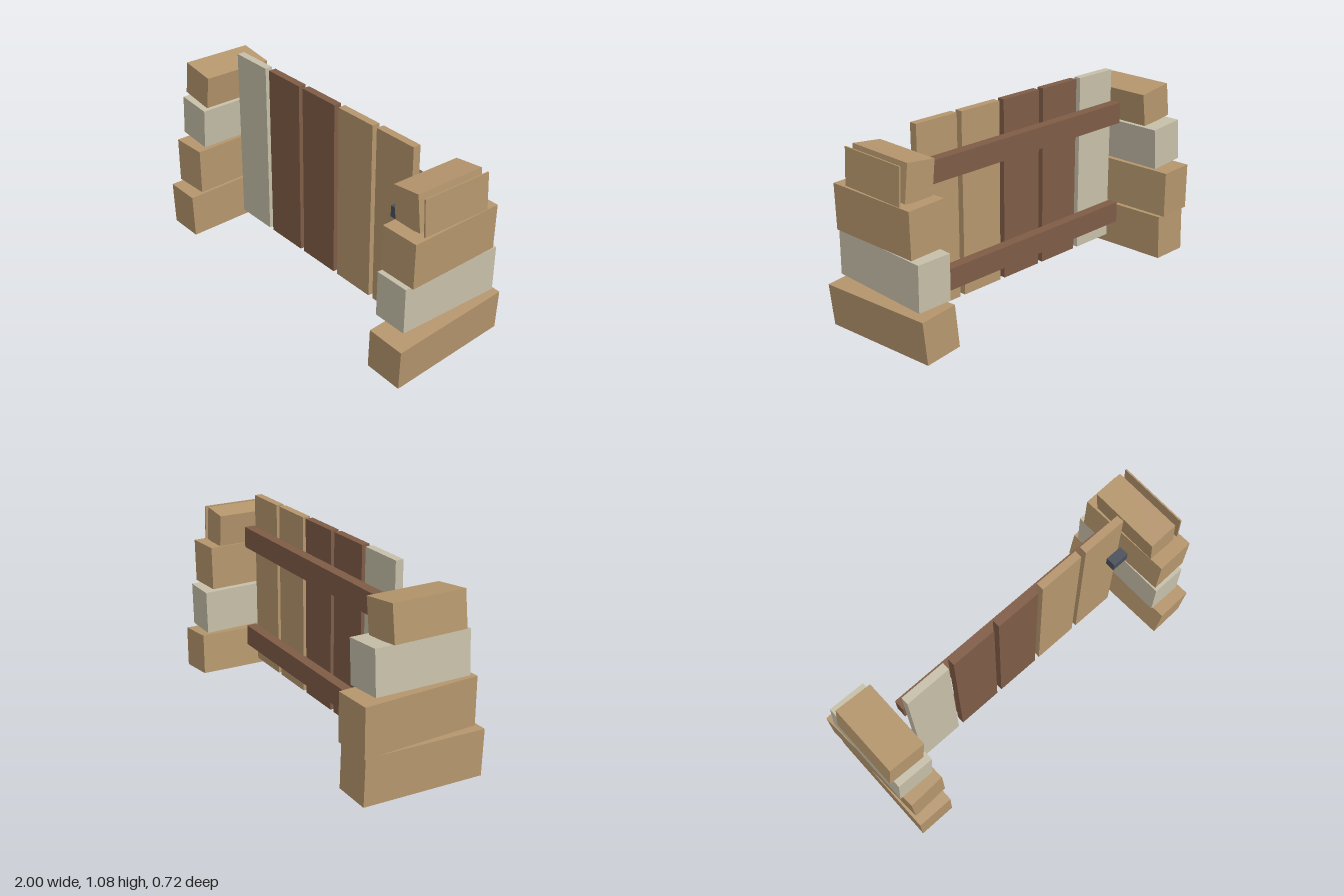
import * as THREE from 'three';

export function createModel() {
  const group = new THREE.Group();
  group.name = 'stoneGate';

  const paint = (name, color) => {
    const m = new THREE.MeshStandardMaterial({ color });
    m.name = name;
    return m;
  };
  const tan = paint('tan', 0xb5966d);
  const brown = paint('brown', 0x7f5c46);
  const pale = paint('paleStone', 0xc6bfa9);
  const iron = paint('darkIron', 0x4a4f5a);

  // One box: size, centre and rotation as [x, y, z]
  const box = (name, material, size, position, rotation = [0, 0, 0]) => {
    const mesh = new THREE.Mesh(new THREE.BoxGeometry(...size), material);
    mesh.name = name;
    mesh.position.set(...position);
    mesh.rotation.set(...rotation);
    group.add(mesh);
  };

  // Five upright planks of the gate
  [pale, brown, brown, tan, tan].forEach((material, i) => {
    box('plank' + (i + 1), material, [0.257, 0.99, 0.043], [-0.581 + i * 0.2875, 0.585, 0.012]);
  });

  // Two cross rails behind the planks
  box('lowerRail', brown, [1.428, 0.118, 0.058], [-0.006, 0.246, -0.043]);
  box('upperRail', brown, [1.428, 0.118, 0.058], [-0.006, 0.842, -0.043]);

  // Latch on the front
  box('latch', iron, [0.098, 0.061, 0.055], [0.667, 0.724, 0.062]);

  // Pillar of loosely stacked blocks on the -x side
  box('rightPillarBlock1', tan, [0.21, 0.25, 0.68], [-0.88, 0.137, 0], [0.03, 0, 0]);
  box('rightPillarBlock2', tan, [0.21, 0.258, 0.645], [-0.879, 0.406, -0.033], [0, 0.045, 0]);
  box('rightPillarBlock3', pale, [0.21, 0.23, 0.525], [-0.876, 0.668, -0.027], [0.01, 0, -0.075]);
  box('rightPillarBlock4', tan, [0.21, 0.19, 0.4], [-0.878, 0.88, 0], [0, 0, -0.13]);

  // Pillar of loosely stacked blocks on the +x side
  box('leftPillarBlock1', tan, [0.21, 0.228, 0.69], [0.872, 0.137, 0.006], [0.04, 0.043, -0.08]);
  box('leftPillarBlock2', pale, [0.194, 0.245, 0.595], [0.858, 0.41, -0.003], [-0.012, 0, 0]);
  box('leftPillarBlock3', tan, [0.215, 0.243, 0.54], [0.868, 0.668, 0.005], [0, 0.03, -0.02]);
  box('leftPillarBlock4', tan, [0.163, 0.195, 0.4], [0.842, 0.882, 0], [0, 0, 0.11]);

  // Thin slab split off the top block
  box('splitSlab', tan, [0.008, 0.195, 0.4], [0.96, 0.885, 0], [0, 0, 0.05]);

  return group;
}
